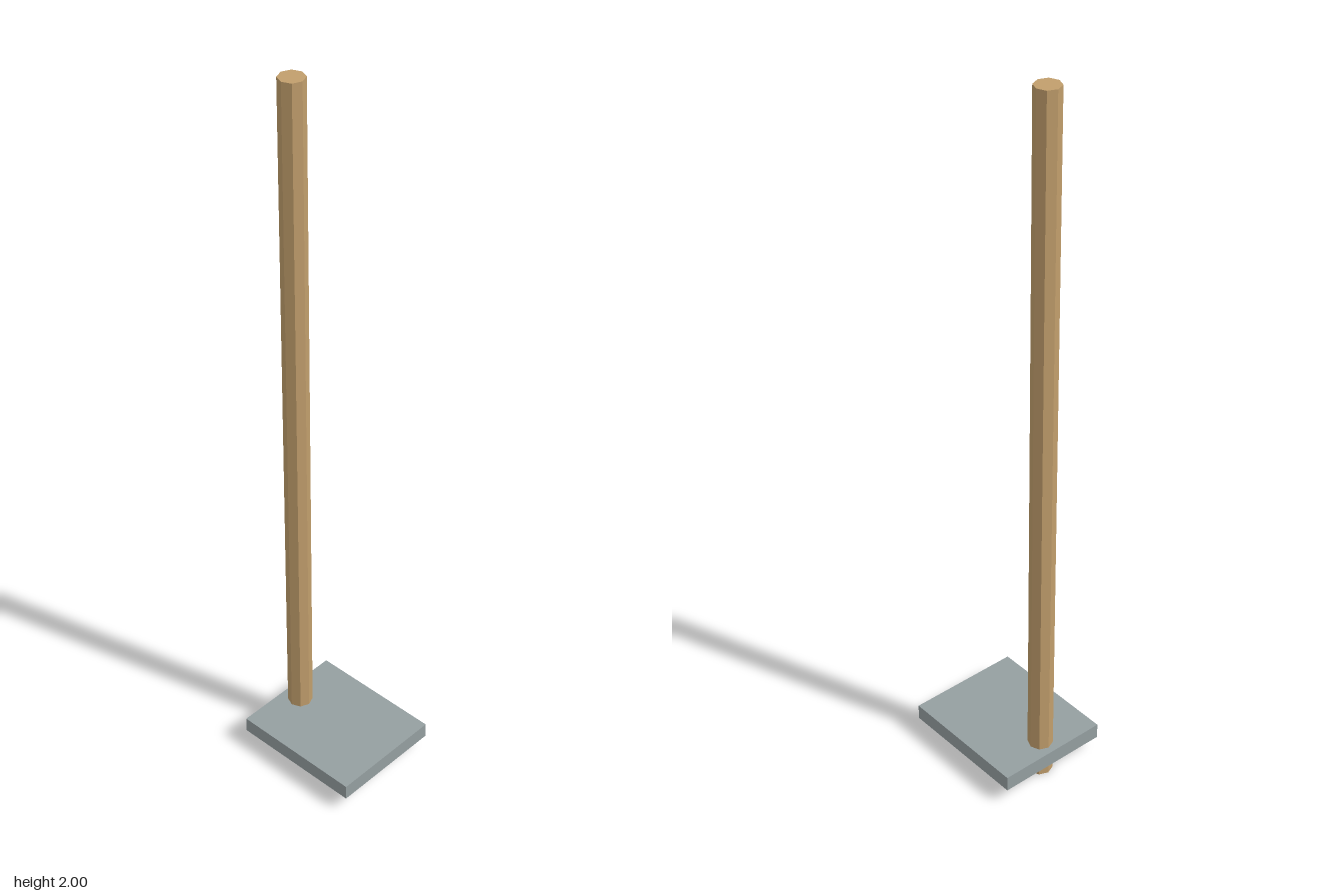
import * as THREE from 'three';

export function createModel() {
  const group = new THREE.Group();
  const wood = new THREE.MeshStandardMaterial({ name: 'wood', color: 0xc19e6c, flatShading: true });
  const metal = new THREE.MeshStandardMaterial({ name: 'grey metal', color: 0x959fa1, flatShading: true });

  const add = (name, geometry, material, x, y, z) => {
    const mesh = new THREE.Mesh(geometry, material);
    mesh.name = name;
    mesh.position.set(x, y, z);
    group.add(mesh);
  };

  // Tall eight-sided pole, passing through the plate near its back edge
  add('pole', new THREE.CylinderGeometry(0.034, 0.034, 2, 8), wood, 0, 1, -0.135);

  // Flat plate just above the pole's foot
  add('plate', new THREE.BoxGeometry(0.32, 0.044, 0.374), metal, 0, 0.068, 0);

  return group;
}
